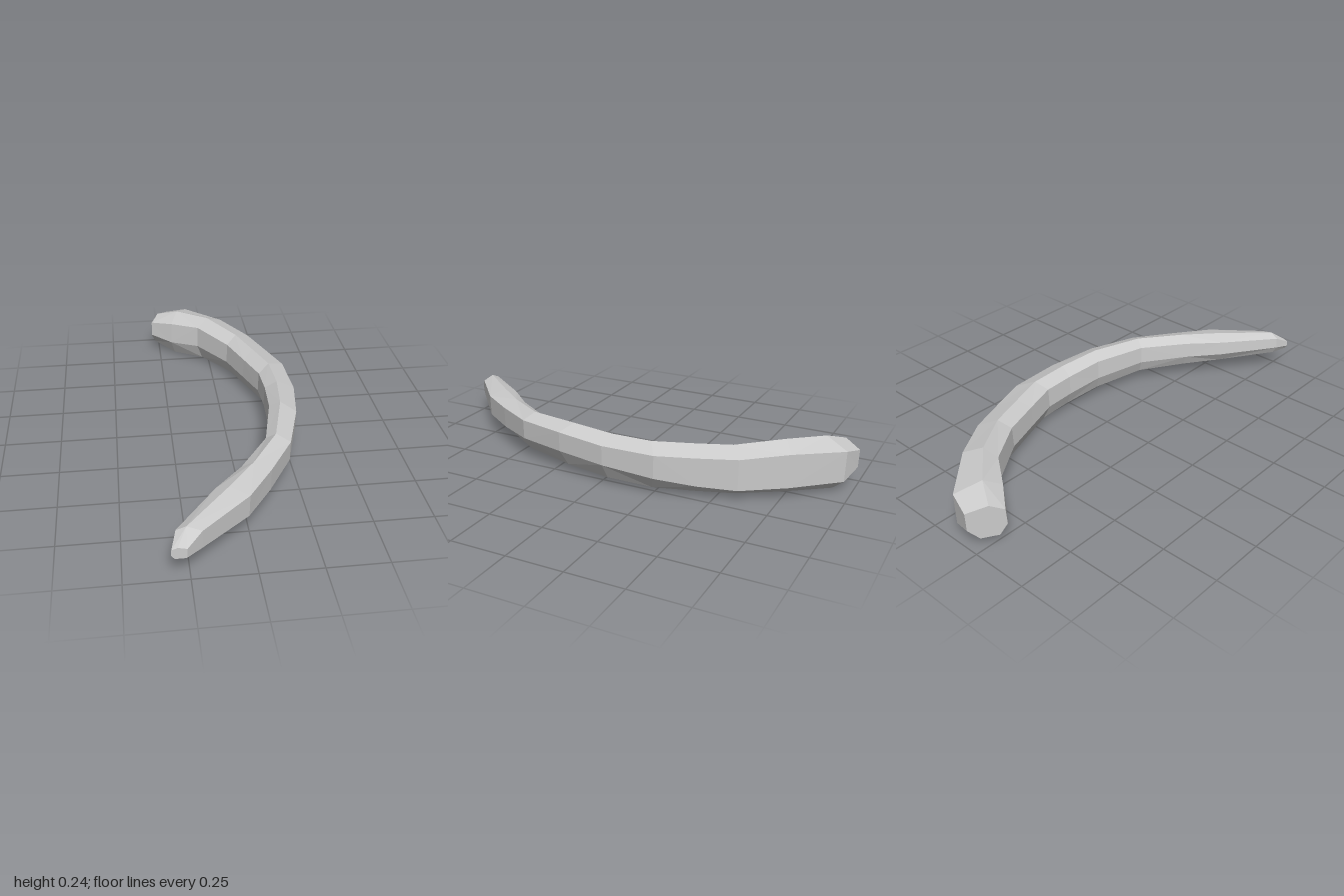
import * as THREE from 'three';

// Stations from the pointed tip to the blunt end:
// [innerX, innerZ, outerX, outerZ, bottomY, topY, height of the outer lower ridge (0..1)]
const STATIONS = [
  [-0.32, 1.0, -0.26, 1.0, 0.1, 0.15, 0.05],
  [-0.3, 0.93, -0.2, 0.95, 0.09, 0.195, 0.1],
  [-0.13, 0.7, 0.0, 0.77, 0.07, 0.207, 0.14],
  [-0.01, 0.57, 0.11, 0.61, 0.057, 0.212, 0.22],
  [0.12, 0.38, 0.22, 0.43, 0.05, 0.22, 0.32],
  [0.175, 0.13, 0.287, 0.2, 0.04, 0.23, 0.37],
  [0.185, -0.05, 0.32, -0.03, 0.03, 0.222, 0.37],
  [0.18, -0.19, 0.31, -0.27, 0.025, 0.22, 0.3],
  [0.13, -0.34, 0.25, -0.44, 0.02, 0.22, 0.2],
  [0.07, -0.51, 0.19, -0.6, 0.018, 0.222, 0.15],
  [-0.06, -0.7, 0.07, -0.78, 0.015, 0.238, 0.16],
  [-0.19, -0.79, -0.1, -0.97, 0.0, 0.225, 0.22],
  [-0.29, -0.87, -0.2, -1.0, 0.04, 0.19, 0.3],
];

// Faceted cross-section: u runs inner to outer, v bottom to top
function section(ridge) {
  return [
    [1, 0.84], [0.98, ridge], [0.68, 0], [0.2, 0.03],
    [0, 0.36], [0.03, 0.82], [0.42, 1],
  ];
}

function createShaftGeometry() {
  const positions = [];
  const index = [];
  const n = 7;
  for (const [ix, iz, ox, oz, y0, y1, ridge] of STATIONS) {
    for (const [u, v] of section(ridge)) {
      positions.push(ix + (ox - ix) * u, y0 + (y1 - y0) * v, iz + (oz - iz) * u);
    }
  }
  // Skin between neighbouring sections
  for (let i = 0; i < STATIONS.length - 1; i++) {
    for (let j = 0; j < n; j++) {
      const a = i * n + j;
      const b = i * n + ((j + 1) % n);
      const c = b + n;
      const d = a + n;
      // Alternate the diagonals for irregular carved facets
      if ((i + j) % 2) index.push(a, b, c, a, c, d);
      else index.push(a, b, d, b, c, d);
    }
  }
  // End caps
  const last = (STATIONS.length - 1) * n;
  for (let j = 1; j < n - 1; j++) {
    index.push(0, j + 1, j);
    index.push(last, last + j, last + j + 1);
  }
  const geometry = new THREE.BufferGeometry();
  geometry.setAttribute('position', new THREE.Float32BufferAttribute(positions, 3));
  geometry.setIndex(index);
  const faceted = geometry.toNonIndexed();
  faceted.computeVertexNormals();
  return faceted;
}

export function createModel() {
  const group = new THREE.Group();
  group.name = 'curvedRib';
  const material = new THREE.MeshStandardMaterial({ color: 0xcccccc, flatShading: true });
  const shaft = new THREE.Mesh(createShaftGeometry(), material);
  shaft.name = 'ribShaft';
  group.add(shaft);
  return group;
}
